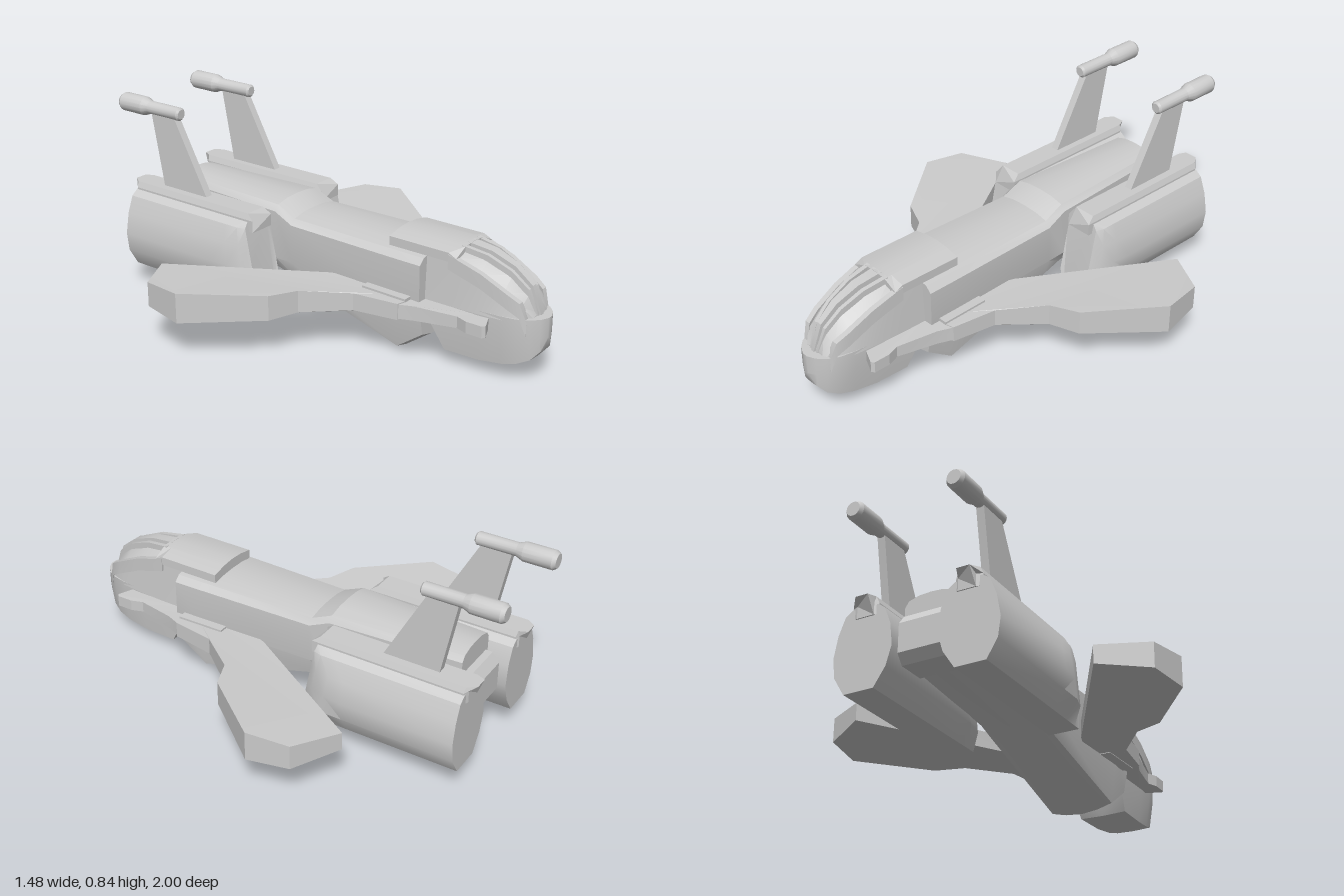
import * as THREE from 'three';
import { toCreasedNormals } from 'three/addons/utils/BufferGeometryUtils.js';

const material = new THREE.MeshStandardMaterial({ color: 0xcccccc });

// Closed loft through rings of [x, y, z]; caps are triangulated in the plane of axes (a, b)
function loft(rings, crease = 0.5, [a, b] = [0, 1]) {
  const pos = [];
  const tri = (p, q, r) => pos.push(...p, ...q, ...r);
  for (let i = 0; i < rings.length - 1; i++) {
    const r0 = rings[i], r1 = rings[i + 1], n = r0.length;
    for (let j = 0; j < n; j++) {
      const k = (j + 1) % n;
      tri(r0[j], r0[k], r1[k]);
      tri(r0[j], r1[k], r1[j]);
    }
  }
  [[rings[0], true], [rings[rings.length - 1], false]].forEach(([ring, first]) => {
    const flat = ring.map(p => new THREE.Vector2(p[a], p[b]));
    const flip = (THREE.ShapeUtils.area(flat) < 0) !== first;
    for (const [i, j, k] of THREE.ShapeUtils.triangulateShape(flat, [])) {
      const t = new THREE.Vector3().crossVectors(
        new THREE.Vector3(flat[j].x - flat[i].x, flat[j].y - flat[i].y, 0),
        new THREE.Vector3(flat[k].x - flat[i].x, flat[k].y - flat[i].y, 0)).z < 0;
      if (flip !== t) tri(ring[i], ring[k], ring[j]);
      else tri(ring[i], ring[j], ring[k]);
    }
  });
  // Turn the shell outward if its signed volume is negative
  let volume = 0;
  const v = i => new THREE.Vector3().fromArray(pos, i);
  for (let i = 0; i < pos.length; i += 9) volume += v(i).dot(v(i + 3).cross(v(i + 6)));
  if (volume < 0) {
    for (let i = 0; i < pos.length; i += 9) {
      const q = pos.slice(i + 3, i + 6);
      for (let c = 0; c < 3; c++) { pos[i + 3 + c] = pos[i + 6 + c]; pos[i + 6 + c] = q[c]; }
    }
  }
  const geo = new THREE.BufferGeometry();
  geo.setAttribute('position', new THREE.Float32BufferAttribute(pos, 3));
  return toCreasedNormals(geo, crease);
}

// Half outline from top centre to bottom centre, mirrored into a full ring
const symmetric = half => [...half, ...half.slice(1, -1).reverse().map(([x, y, z]) => [-x, y, z])];

// Flat plate from plan points [x, z, halfThickness]
const plate = (points, y, s) => loft([-1, 1].map(d => points.map(([x, z, t]) => [s * x, y + d * t, z])), 0.2, [0, 2]);

// Rectangular bar following points [x, y, z, halfWidth]
const bar = (points, h, s = 1) => loft(points.map(([x, y, z, w]) =>
  [[x - w, y], [x + w, y], [x + w, y - h], [x - w, y - h]].map(([px, py]) => [s * px, py, z])), 0.4);

export function createModel() {
  const model = new THREE.Group();
  const add = (name, geo, parent = model) => {
    const mesh = new THREE.Mesh(geo, material);
    mesh.name = name;
    parent.add(mesh);
    return mesh;
  };

  // Main hull: [z, halfWidth, top, bottom]
  add('hull', loft([
    [0.52, 0.168, 0.455, 0.09], [0.4, 0.166, 0.455, 0.005], [-0.13, 0.15, 0.455, 0.15],
    [-0.22, 0.146, 0.495, 0.175], [-0.79, 0.112, 0.495, 0.2],
  ].map(([z, w, t, b]) => symmetric([
    [0, t, z], [w * 0.45, t - 0.003, z], [w * 0.85, t - 0.016, z], [w, t - 0.04, z],
    [w, 0.25, z], [w * 0.84, b + 0.025, z], [w * 0.45, b + 0.008, z], [0, b, z],
  ])), 0.35));

  // Stepped tail block between the engines
  add('tailBlock', loft([[-0.7, 0.4, 0.2], [-0.82, 0.4, 0.2], [-0.85, 0.36, 0.24]].map(([z, t, b]) =>
    symmetric([[0, t, z], [0.095, t, z], [0.095, b, z], [0, b, z]])), 0.2));

  // Chin under the cockpit: [z, topHalf, bottomHalf, bottom]
  add('chin', loft([
    [0.52, 0.125, 0.105, 0.06], [0.75, 0.12, 0.1, 0.06], [0.85, 0.112, 0.09, 0.07],
    [0.91, 0.1, 0.08, 0.085], [0.955, 0.077, 0.06, 0.105], [0.985, 0.045, 0.035, 0.14], [1, 0.012, 0.01, 0.19],
  ].map(([z, w, wb, b], i) => symmetric([
    [0, 0.28, z], [w, 0.28, z], [w * 0.98, 0.2, z], [wb, b + 0.003, i ? z : 0.6], [0, b, i ? z : 0.6],
  ])), 0.6));

  // Cabin with sloping glazing: [z, top, topHalf, shoulder, shoulderHalf, baseHalf]
  add('cabin', loft([
    [0.36, 0.485, 0.06, 0.46, 0.118, 0.13], [0.63, 0.482, 0.06, 0.46, 0.118, 0.128],
    [0.75, 0.465, 0.045, 0.42, 0.11, 0.122], [0.85, 0.425, 0.032, 0.37, 0.098, 0.112],
    [0.92, 0.365, 0.02, 0.325, 0.08, 0.092], [0.955, 0.29, 0.01, 0.28, 0.05, 0.065],
  ].map(([z, t, tw, sy, sw, bw]) => symmetric([
    [0, t, z], [tw, t - 0.003, z], [sw, sy, z], [bw, 0.265, z], [0, 0.265, z],
  ])), 0.45));

  // Raised roof panel behind the glazing
  add('cockpitRoof', loft([0.345, 0.62, 0.655].map((z, i) => symmetric([
    [0, 0.5, z], [0.06, 0.496, z], [0.125, i < 2 ? 0.482 : 0.465, z], [0.125, 0.445, z], [0, 0.44, z],
  ])), 0.3));

  // Centre canopy frame
  add('canopyCentreRib', bar([
    [0, 0.5, 0.64, 0.024], [0, 0.488, 0.75, 0.021], [0, 0.45, 0.85, 0.016],
    [0, 0.39, 0.925, 0.012], [0, 0.28, 0.965, 0.008],
  ], 0.05));

  for (const s of [1, -1]) {
    const side = new THREE.Group();
    side.name = s > 0 ? 'leftSide' : 'rightSide';
    model.add(side);

    // Canopy frames
    add('canopyInnerRib', bar([
      [0.055, 0.498, 0.64, 0.01], [0.046, 0.482, 0.75, 0.009], [0.036, 0.44, 0.85, 0.008],
      [0.027, 0.38, 0.922, 0.007], [0.018, 0.28, 0.96, 0.006],
    ], 0.045, s), side);
    add('canopySideRail', bar([
      [0.116, 0.475, 0.62, 0.012], [0.108, 0.43, 0.76, 0.012], [0.098, 0.375, 0.87, 0.012],
      [0.085, 0.345, 0.92, 0.012], [0.07, 0.27, 0.945, 0.012],
    ], 0.06, s), side);

    // Swept wing
    add('wing', plate([
      [0.14, 0.15, 0.035], [0.165, 0.08, 0.035], [0.52, -0.51, 0.038], [0.71, -0.4, 0.052], [0.74, -0.22, 0.063],
      [0.52, 0.06, 0.052], [0.4, 0.11, 0.046], [0.27, 0.28, 0.036], [0.24, 0.47, 0.034],
      [0.2, 0.48, 0.034], [0.19, 0.38, 0.034], [0.14, 0.3, 0.034],
    ], 0.235, s), side);

    // Forward strake and its bracket
    add('strake', plate([
      [0.09, 0.79, 0.024], [0.18, 0.83, 0.024], [0.192, 0.82, 0.024], [0.192, 0.75, 0.024],
      [0.175, 0.7, 0.024], [0.212, 0.53, 0.03], [0.24, 0.46, 0.03], [0.1, 0.46, 0.03],
    ], 0.235, s), side);
    add('wingBracket', plate([
      [0.14, 0.27, 0.04], [0.2, 0.27, 0.04], [0.205, 0.48, 0.04], [0.14, 0.48, 0.04],
    ], 0.238, s), side);

    // Engine pod; the front end is narrowed by clamping: [z, inner, outer]
    const outline = [
      [0.165, 0.442], [0.28, 0.442], [0.31, 0.42], [0.338, 0.35], [0.355, 0.26], [0.345, 0.18],
      [0.3, 0.105], [0.17, 0.105], [0.12, 0.18], [0.097, 0.26], [0.108, 0.35], [0.135, 0.42],
    ];
    add('enginePod', loft([
      [-0.2, 0.15, 0.3], [-0.235, 0.13, 0.325], [-0.3, 0.11, 0.345], [-0.4, 0.095, 0.356], [-0.885, 0.095, 0.356],
    ].map(([z, lo, hi], i) => outline.map(([x, y]) => [
      s * THREE.MathUtils.clamp(x, lo, hi), y, z - (i < 3 ? Math.max(0, y - 0.18) * 0.2 : 0),
    ])), 0.5), side);

    // Ridge on top of the pod
    add('podRidge', loft([
      [-0.225, -0.258, 0.165, 0.28], [-0.88, -0.885, 0.165, 0.28], [-0.89, -0.92, 0.18, 0.255],
    ].map(([zb, zt, lo, hi]) => [
      [lo, 0.4, zb], [hi, 0.4, zb], [hi, 0.45, zb], [hi - 0.01, 0.475, zt], [lo + 0.01, 0.475, zt], [lo, 0.45, zb],
    ].map(([x, y, z]) => [s * x, y, z])), 0.3), side);

    // Raked mast
    add('gunMast', loft([[0.46, -0.51, -0.755], [0.8, -0.695, -0.82]].map(([y, z0, z1]) =>
      [[0.203, z0], [0.237, z0], [0.237, z1], [0.203, z1]].map(([x, z]) => [s * x, y, z])), 0.2, [0, 2]), side);

    // Gun barrel, turned about its long axis
    const profile = [
      [0, 0], [0.02, 0], [0.028, 0.008], [0.028, 0.175], [0.04, 0.205], [0.04, 0.325], [0.03, 0.34], [0, 0.34],
    ].map(([r, h]) => new THREE.Vector2(r, h));
    const gun = add('gun', toCreasedNormals(new THREE.LatheGeometry(profile, 16), 0.5), side);
    gun.rotation.x = -Math.PI / 2;
    gun.position.set(s * 0.22, 0.803, -0.66);
  }
  return model;
}
